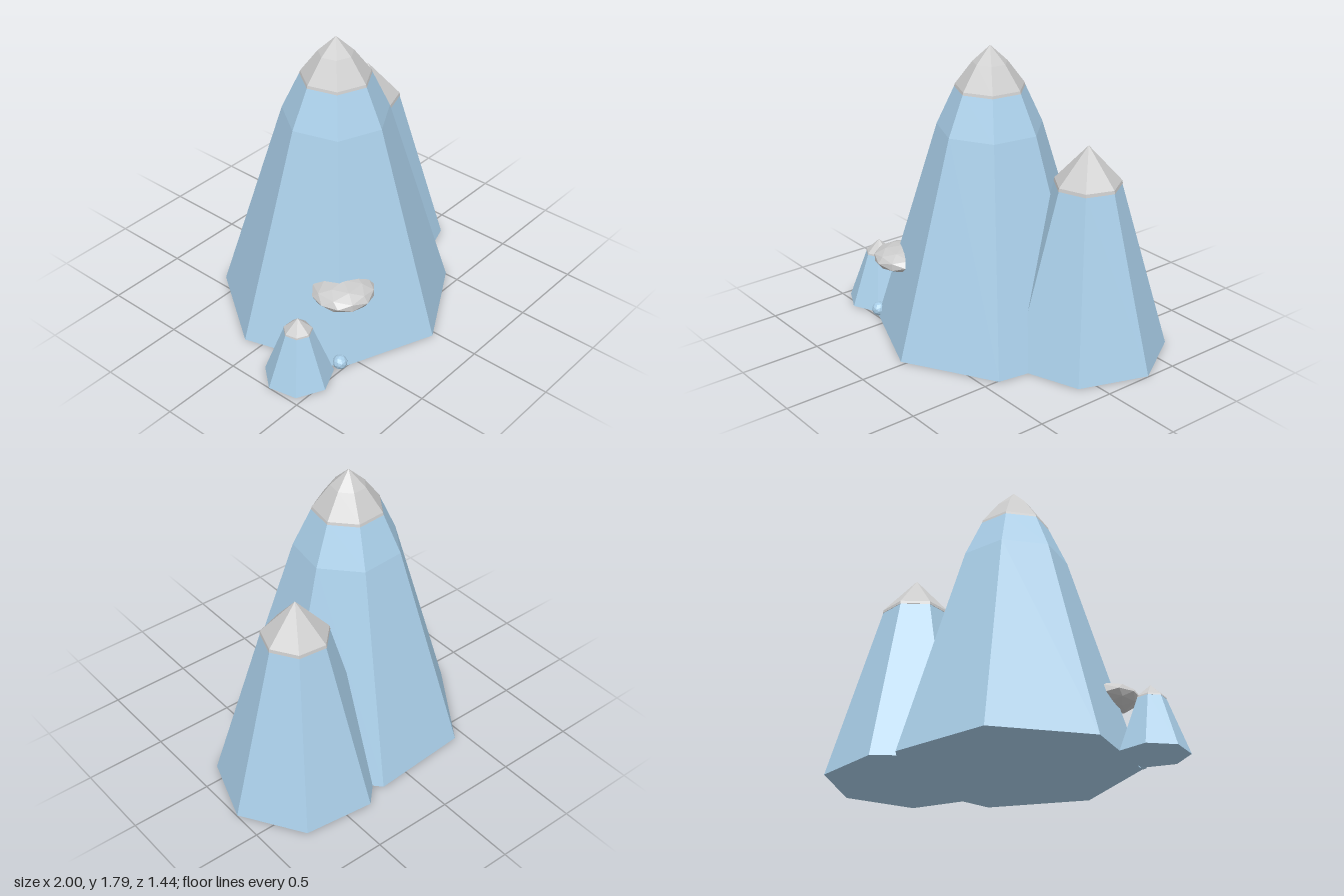
import * as THREE from 'three';

const rock = new THREE.MeshStandardMaterial({ color: 0xa9cee8, flatShading: true });
const grey = new THREE.MeshStandardMaterial({ color: 0xcccccc, flatShading: true });

// Seven-sided solid turned from [radius, height] pairs, bottom to top
function facetedSolid(name, profile, turn, material) {
  const points = profile.map(([r, y]) => new THREE.Vector2(r, y));
  const geometry = new THREE.LatheGeometry(points, 7, THREE.MathUtils.degToRad(turn));
  const mesh = new THREE.Mesh(geometry, material);
  mesh.name = name;
  return mesh;
}

// Peak with a rocky body and a snow cap
function peak({ name, x, z, turn, body, cap }) {
  const group = new THREE.Group();
  group.name = name;
  group.position.set(x, 0, z);
  group.add(
    facetedSolid('rockBody', [[0, 0], ...body, [0, body.at(-1)[1]]], turn, rock),
    facetedSolid('snowCap', [[0, cap[0][1]], ...cap], turn, grey),
  );
  return group;
}

// Low-poly ellipsoid
function blob(name, position, radii, detail, material) {
  const mesh = new THREE.Mesh(new THREE.IcosahedronGeometry(1, detail), material);
  mesh.name = name;
  mesh.position.set(...position);
  mesh.scale.set(...radii);
  return mesh;
}

export function createModel() {
  const model = new THREE.Group();
  model.name = 'mountains';

  const peaks = [
    {
      name: 'tallPeak', x: -0.08, z: 0, turn: 4,
      body: [[0.715, 0], [0.32, 1.3], [0.21, 1.54]],
      cap: [[0.214, 1.53], [0.208, 1.55], [0.105, 1.69], [0, 1.79]],
    },
    {
      name: 'middlePeak', x: 0.5, z: -0.25, turn: 45,
      body: [[0.5, 0], [0.198, 1.06]],
      cap: [[0.204, 1.05], [0.2, 1.07], [0, 1.29]],
    },
    {
      name: 'smallPeak', x: -0.8, z: 0.335, turn: -1,
      body: [[0.205, 0], [0.083, 0.33]],
      cap: [[0.086, 0.325], [0.083, 0.335], [0, 0.412]],
    },
  ];
  for (const p of peaks) model.add(peak(p));

  // Cloud hugging the corner of the tall peak, and a pebble at its foot
  model.add(blob('cloud', [-0.46, 0.432, 0.38], [0.188, 0.073, 0.185], 1, grey));
  model.add(blob('pebble', [-0.605, 0.043, 0.48], [0.044, 0.044, 0.044], 1, rock));
  return model;
}
